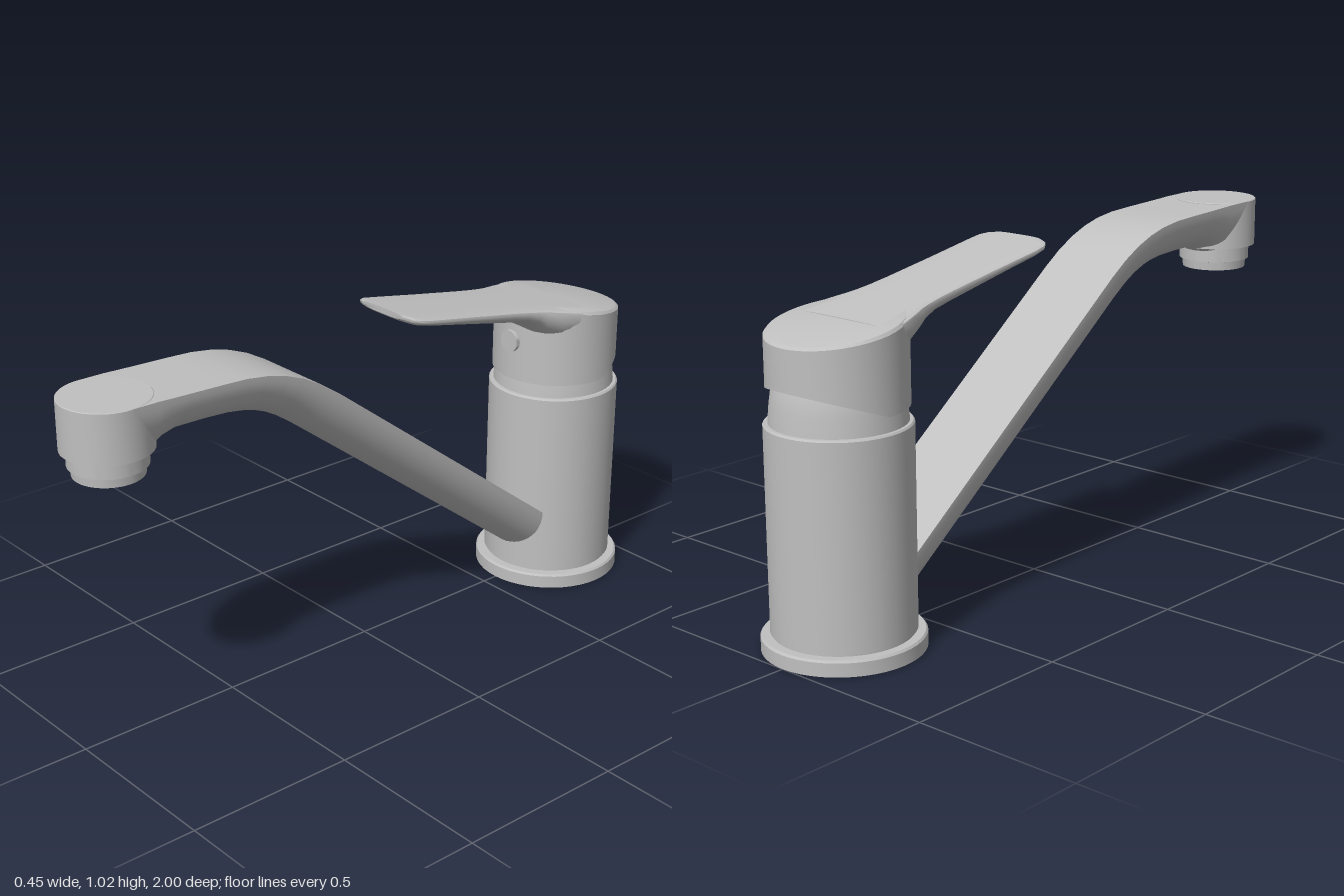
import * as THREE from 'three';
import { toCreasedNormals } from 'three/addons/utils/BufferGeometryUtils.js';

const AXIS_Z = -0.775; // vertical axis of the tap body
const HEAD_Z = 0.873; // vertical axis of the outlet

// Skin a list of equal-length closed rings ([x, y, z] points) and cap both ends
function loft(rings) {
  const n = rings[0].length;
  const pos = rings.flat(2);
  const index = [];
  for (let i = 0; i < rings.length - 1; i++) {
    for (let j = 0; j < n; j++) {
      const k = (j + 1) % n;
      const a = i * n + j, b = i * n + k, c = b + n, d = a + n;
      index.push(a, b, c, a, c, d);
    }
  }
  [0, rings.length - 1].forEach((r, end) => {
    const centre = pos.length / 3;
    for (let axis = 0; axis < 3; axis++) {
      pos.push(rings[r].reduce((s, p) => s + p[axis], 0) / n);
    }
    for (let j = 0; j < n; j++) {
      const a = r * n + j, b = r * n + (j + 1) % n;
      index.push(centre, ...(end ? [a, b] : [b, a]));
    }
  });
  const geo = new THREE.BufferGeometry();
  geo.setAttribute('position', new THREE.Float32BufferAttribute(pos, 3));
  geo.setIndex(index);
  return geo;
}

const lathe = (points) =>
  new THREE.LatheGeometry(points.map(([r, y]) => new THREE.Vector2(r, y)), 48);

// Sloping top and kinked lower edge of the handle
const handleTop = (z) => 0.862 + (z + 0.965) * 0.176;
const handleBottom = (z) => 0.672 + Math.max(0, AXIS_Z - z) * 0.36;

export function createModel() {
  const group = new THREE.Group();
  group.name = 'mixerTap';
  const metal = new THREE.MeshStandardMaterial({ color: 0xc0c0c0 });
  metal.name = 'satinMetal';

  const add = (name, geo, x, y, z, crease = 0.55) => {
    const mesh = new THREE.Mesh(toCreasedNormals(geo, crease), metal);
    mesh.name = name;
    mesh.position.set(x, y, z);
    group.add(mesh);
    return mesh;
  };

  // Turned parts of the column
  add('basePlate', lathe([[0, 0], [0.225, 0], [0.225, 0.039], [0.22, 0.045], [0, 0.045]]), 0, 0, AXIS_Z);
  add('body', lathe([[0.194, 0.04], [0.194, 0.05], [0.199, 0.052], [0.199, 0.625], [0.195, 0.63], [0, 0.63]]), 0, 0, AXIS_Z);
  add('neck', lathe([[0.186, 0.628], [0.181, 0.68], [0.175, 0.72], [0.165, 0.75], [0, 0.75]]), 0, 0, AXIS_Z);

  // Handle cap: a unit-height turned drum stretched between the two sloping edges
  const cap = lathe([[0, 0], [0.19, 0], [0.19, 0.95], [0.184, 0.99], [0.178, 1], [0, 1]]);
  const p = cap.attributes.position;
  for (let i = 0; i < p.count; i++) {
    const z = p.getZ(i) + AXIS_Z;
    p.setY(i, THREE.MathUtils.lerp(handleBottom(z), handleTop(z), p.getY(i)));
  }
  add('handleCap', cap, 0, 0, AXIS_Z);

  // Lever: [z, half width, underside height]
  const leverStations = [
    [-0.76, 0.184, 0.79], [-0.7, 0.176, 0.8], [-0.65, 0.161, 0.81], [-0.6, 0.144, 0.838],
    [-0.57, 0.137, 0.866], [-0.53, 0.132, 0.886], [-0.47, 0.129, 0.9], [-0.3, 0.128, 0.938],
    [-0.14, 0.13, 0.975], [-0.1, 0.127, 0.986], [-0.08, 0.113, 0.995], [-0.068, 0.085, 1.004],
  ];
  const leverRings = leverStations.map(([z, w, bottom]) => {
    const top = handleTop(z) + 0.002;
    const rim = top - Math.min(0.014, (top - bottom) * 0.4);
    return Array.from({ length: 32 }, (_, i) => {
      const a = (i / 32) * Math.PI * 2;
      const c = Math.cos(a), s = Math.sin(a);
      const x = w * Math.sign(c) * Math.abs(c) ** 0.6;
      const y = s > 0 ? rim + (top - rim) * s ** 0.6 : rim - (rim - bottom) * Math.abs(s) ** 0.8;
      return [x, y, z];
    });
  });
  add('lever', loft(leverRings), 0, 0, 0, 0.7);

  // Temperature button on the front of the cap
  const button = new THREE.CylinderGeometry(0.034, 0.034, 0.02, 24);
  button.rotateX(Math.PI / 2);
  add('temperatureButton', button, 0, 0.795, -0.585);

  // Spout: flat-topped half-round section along [z, top height, depth]
  const spoutStations = [
    [-0.68, 0.205, 0.128], [0.2, 0.872, 0.128], [0.26, 0.913, 0.128], [0.32, 0.946, 0.128],
    [0.38, 0.97, 0.128], [0.44, 0.986, 0.128], [0.51, 0.996, 0.127], [0.59, 1.0, 0.126],
    [0.7, 1.004, 0.128], [0.75, 1.006, 0.146], [0.79, 1.008, 0.18], [HEAD_Z, 1.009, 0.18],
  ];
  const last = spoutStations.length - 1;
  const spoutRings = spoutStations.map(([z, y, depth], i) => {
    const before = spoutStations[Math.max(0, i - 1)];
    const after = spoutStations[Math.min(last, i + 1)];
    // Near the bend, average unit directions so the section bisects it
    const d1 = new THREE.Vector2(z - before[0], y - before[1]).normalize();
    const d2 = new THREE.Vector2(after[0] - z, after[1] - y).normalize();
    const t = d1.add(d2).normalize();
    return Array.from({ length: 25 }, (_, j) => {
      const a = Math.PI * (1 + j / 24);
      const v = depth * Math.sin(a);
      return [0.127 * Math.cos(a), y + v * t.x, z - v * t.y];
    });
  });
  add('spout', loft(spoutRings), 0, 0, 0);

  // Outlet head and hollow aerator
  add('spoutHead', lathe([[0, 0.865], [0.127, 0.865], [0.127, 1.008], [0.125, 1.01], [0, 1.01]]), 0, 0, HEAD_Z);
  add('aerator', lathe([
    [0, 0.85], [0.088, 0.85], [0.088, 0.792], [0.098, 0.792],
    [0.1, 0.818], [0.109, 0.82], [0.109, 0.87],
  ]), 0, 0, HEAD_Z);

  return group;
}
